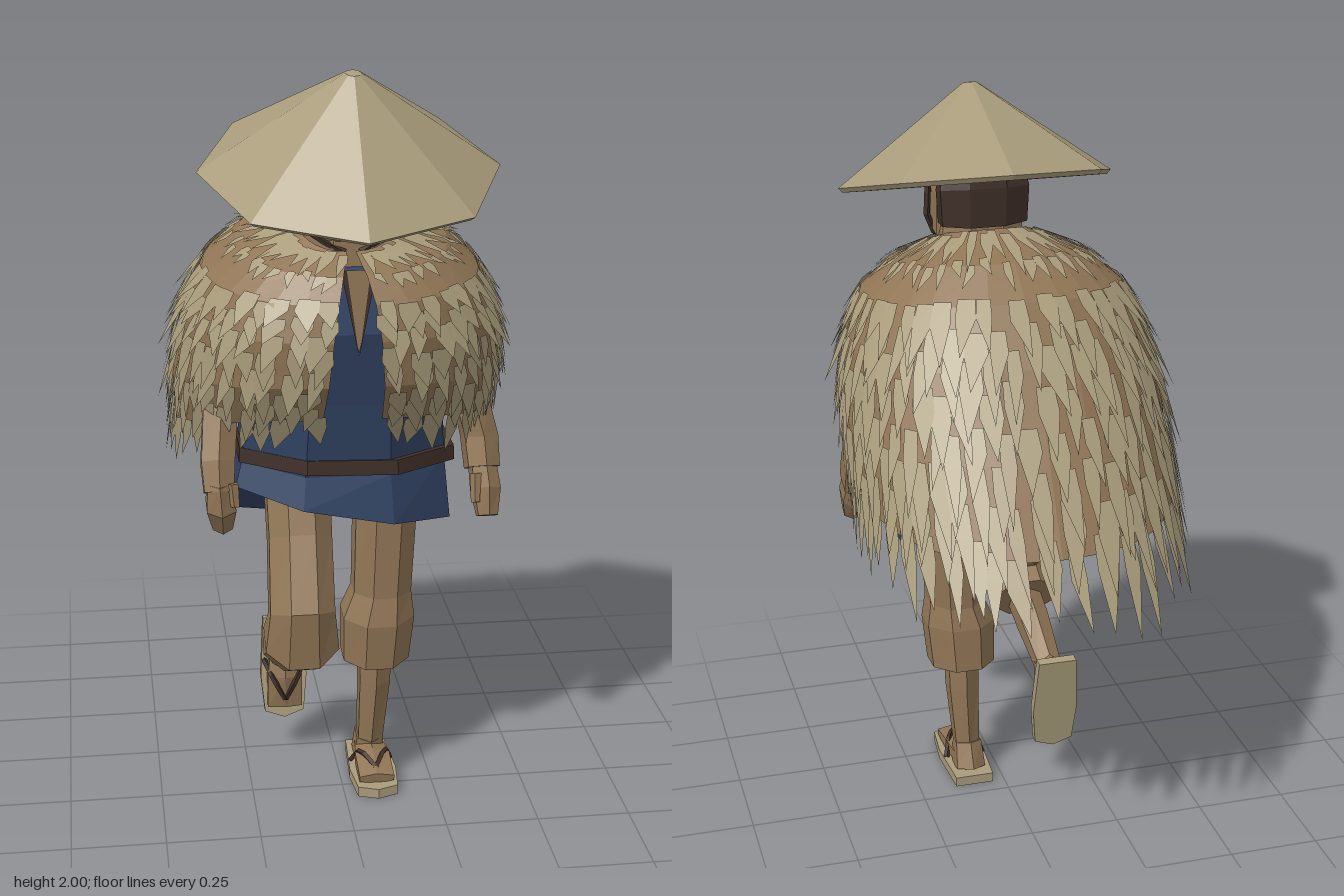
import * as THREE from 'three';

const make = (name, color) => {
  const m = new THREE.MeshStandardMaterial({ color, flatShading: true, side: THREE.DoubleSide });
  m.name = name;
  return m;
};
const V = (x, y, z) => new THREE.Vector3(x, y, z);

let seed = 7;
const rnd = () => (seed = (seed * 16807) % 2147483647) / 2147483647;
const jitter = (a) => (rnd() - 0.5) * 2 * a;

function fromTriangles(pts) {
  const g = new THREE.BufferGeometry().setFromPoints(pts);
  g.computeVertexNormals();
  return g;
}

// Closed tube through rings [x, y, z, half width, half depth]; rings follow the path in the yz plane
function loft(rings, n = 8, tweak = (p) => p) {
  const c = rings.map((r) => V(r[0], r[1], r[2])), X = V(1, 0, 0);
  const loops = rings.map((r, i) => {
    const t = c[Math.min(i + 1, c.length - 1)].clone().sub(c[Math.max(i - 1, 0)]);
    t.x = 0;
    const N = t.normalize().cross(X);
    return Array.from({ length: n }, (_, j) => {
      const a = ((j + 0.5) / n) * Math.PI * 2, k = 1 / Math.cos(Math.PI / n);
      return tweak(c[i].clone().addScaledVector(X, r[3] * k * Math.cos(a)).addScaledVector(N, r[4] * k * Math.sin(a)), i);
    });
  });
  const out = [], last = loops.length - 1;
  for (let j = 0; j < n; j++) {
    const k = (j + 1) % n;
    for (let i = 0; i < last; i++) {
      const [a, b, d, e] = [loops[i][j], loops[i][k], loops[i + 1][k], loops[i + 1][j]];
      out.push(a, b, d, a, d, e);
    }
    out.push(c[0], loops[0][k], loops[0][j], c[last], loops[last][j], loops[last][k]);
  }
  return fromTriangles(out);
}

// Cape rings from neck to hem: front z, front y, back z, back y, half width
const CAPE = [
  [0.40, 1.565, 0.13, 1.65, 0.12], [0.48, 1.52, -0.06, 1.61, 0.27], [0.525, 1.46, -0.165, 1.535, 0.355],
  [0.54, 1.37, -0.265, 1.39, 0.41], [0.52, 1.25, -0.385, 1.18, 0.432], [0.44, 1.14, -0.505, 0.965, 0.425],
];
function capePoint(a, v) {
  const f = Math.min(v * (CAPE.length - 1), CAPE.length - 1.0001), i = Math.floor(f);
  const [zf, yf, zb, yb, w] = CAPE[i].map((q, k) => q + (CAPE[i + 1][k] - q) * (f - i));
  const s = Math.sin(a), t = (1 - Math.cos(a)) / 2;
  return V(w * Math.sign(s) * Math.abs(s) ** 0.85, yb + (yf - yb) * t - 0.035 * v * s * s, zb + (zf - zb) * t);
}
const capeEdge = (v) => Math.PI - 0.06 - 0.07 * v;

function capeLining() {
  const out = [], n = 28, m = 10;
  const at = (i, j) => capePoint((i / n * 2 - 1) * capeEdge(j / m), j / m);
  for (let i = 0; i < n; i++) for (let j = 0; j < m; j++) {
    out.push(at(i, j), at(i + 1, j + 1), at(i, j + 1), at(i, j), at(i + 1, j), at(i + 1, j + 1));
  }
  return fromTriangles(out);
}

// Flat blades around a row: even sides for the first third, then a long point
function strawRow(v, count, length, flare, width) {
  const out = [];
  for (let i = 0; i < count; i++) {
    const a = Math.max(-1, Math.min(1, (i + 0.5 + jitter(0.25)) / count * 2 - 1)) * capeEdge(v);
    const vv = Math.max(0, Math.min(1, v + jitter(0.02)));
    const p = capePoint(a, vv), lo = Math.min(vv, 0.94);
    const down = capePoint(a, lo + 0.06).sub(capePoint(a, lo)).normalize();
    const side = capePoint(a + 0.02, vv).sub(capePoint(a - 0.02, vv)).normalize();
    const nor = side.clone().cross(down).normalize();
    const len = length * (0.72 + 0.28 * Math.cos(a)) * (1 + jitter(0.2));
    const w = width * (1 + jitter(0.25));
    p.addScaledVector(nor, 0.008);
    const at = (s, d) => p.clone().addScaledVector(side, s).addScaledVector(down, d * len).addScaledVector(nor, flare * d * len);
    const L = at(-w * 0.85, 0), R = at(w * 0.85, 0), A = at(-w, 0.35), B = at(w, 0.35), T = at(jitter(0.02), 1);
    out.push(L, R, B, L, B, A, A, B, T);
  }
  return fromTriangles(out);
}

export function createModel() {
  const straw = make('straw', 0xa99c7b), skin = make('brown cloth and skin', 0x917656);
  const blue = make('indigo cloth', 0x324566), dark = make('dark leather and hair', 0x402f28);
  const root = new THREE.Group();
  const add = (name, geo, mat, parent = root) => {
    const m = new THREE.Mesh(geo, mat);
    m.name = name;
    parent.add(m);
    return m;
  };

  // Hollow conical hat, tipped forward
  const profile = [[0, 0.235], [0.37, -0.012], [0.382, 0], [0.02, 0.257], [0, 0.259]];
  const hat = add('hat', new THREE.LatheGeometry(profile.map((p) => new THREE.Vector2(...p)), 8), straw);
  hat.position.set(0.01, 1.748, 0.285);
  hat.rotation.x = 0.268;

  // Head, hair and chin cords
  add('neck', loft([[0.01, 1.46, 0.25, 0.12, 0.1], [0.01, 1.6, 0.26, 0.115, 0.085], [0.01, 1.7, 0.26, 0.1, 0.08]], 8), skin);
  add('head', loft([[0.01, 1.565, 0.31, 0.07, 0.045], [0.01, 1.61, 0.295, 0.12, 0.075],
    [0.01, 1.72, 0.29, 0.12, 0.09], [0.01, 1.85, 0.29, 0.09, 0.08]]), skin);
  add('hair', loft([[0.01, 1.645, 0.225, 0.118, 0.06], [0.01, 1.74, 0.225, 0.123, 0.065], [0.01, 1.84, 0.26, 0.1, 0.08]]), dark);
  add('nose', new THREE.ConeGeometry(0.015, 0.04, 4), skin).position.set(0.01, 1.69, 0.38);
  for (const s of [-1, 1]) {
    add('chinCord', new THREE.TubeGeometry(new THREE.CatmullRomCurve3(
      [V(0.01 + s * 0.13, 1.77, 0.3), V(0.01 + s * 0.127, 1.62, 0.31), V(0.01 + s * 0.02, 1.55, 0.35)]), 5, 0.009, 4), dark);
    add('eye', new THREE.BoxGeometry(0.03, 0.01, 0.006), dark).position.set(0.01 + s * 0.04, 1.715, 0.381);
  }

  // Robe with a wrapped, slanting hem
  add('robe', loft([[0, 0.785, 0.18, 0.285, 0.2], [0, 0.98, 0.18, 0.268, 0.18], [0, 1.2, 0.23, 0.25, 0.17],
    [0, 1.4, 0.28, 0.27, 0.17], [0, 1.52, 0.3, 0.17, 0.13]], 8, (p, i) => {
    if (i === 0 && p.z > 0.2) p.y += 0.01 + 0.055 * (1 - p.x / 0.28);
    return p;
  }), blue);
  add('belt', loft([[0.01, 0.965, 0.18, 0.285, 0.193], [0.01, 1.005, 0.18, 0.283, 0.191]], 8, (p) => {
    p.y -= p.x * 0.03;
    return p;
  }), dark);
  add('chestOpening', fromTriangles([V(-0.03, 1.53, 0.45), V(0.012, 1.32, 0.463), V(0.055, 1.53, 0.45)]), skin);
  for (const s of [-1, 1]) {
    add('collarEdge', fromTriangles([V(0.012 + s * 0.045, 1.53, 0.452), V(0.012 + s * 0.03, 1.53, 0.452), V(0.012, 1.31, 0.466)]), dark);
  }

  // Straw cape: lining, neck tufts, then overlapping rows
  add('capeLining', capeLining(), skin);
  add('capeNeckTufts', strawRow(0.03, 40, 0.2, 0, 0.015), straw);
  add('capeShoulderTufts', strawRow(0.19, 44, 0.09, 0.03, 0.014), straw);
  for (let r = 0; r < 8; r++) {
    add('capeRow', strawRow(0.38 + r * 0.085, 40 + Math.min(r, 4), 0.17 + r * 0.011, 0.11, 0.026), straw);
  }

  // Arms and hands
  add('leftSleeve', loft([[0.3, 1.36, 0.2, 0.05, 0.07], [0.345, 1.12, 0.18, 0.045, 0.06],
    [0.372, 1.0, 0.2, 0.045, 0.065], [0.375, 0.92, 0.235, 0.042, 0.062]], 6), skin);
  add('leftHand', loft([[0.375, 0.94, 0.23, 0.032, 0.05], [0.38, 0.87, 0.265, 0.036, 0.052], [0.38, 0.805, 0.295, 0.026, 0.03]], 6), skin);
  add('rightSleeve', loft([[-0.29, 1.36, 0.2, 0.05, 0.07], [-0.32, 1.14, 0.25, 0.045, 0.055],
    [-0.335, 1.0, 0.33, 0.043, 0.05], [-0.335, 0.93, 0.36, 0.038, 0.042]], 6), skin);
  add('rightHand', loft([[-0.335, 0.96, 0.36, 0.03, 0.038], [-0.33, 0.89, 0.355, 0.038, 0.045], [-0.325, 0.825, 0.32, 0.026, 0.03]], 6), skin);
  add('leftThumb', loft([[0.35, 0.92, 0.28, 0.013, 0.015], [0.345, 0.85, 0.31, 0.01, 0.01]], 5), skin);
  add('rightThumb', loft([[-0.3, 0.96, 0.38, 0.013, 0.015], [-0.295, 0.9, 0.39, 0.01, 0.01]], 5), skin);

  // Standing left leg and lifted right leg, with baggy breeches
  add('leftBreeches', loft([[0.13, 0.95, 0.16, 0.085, 0.1], [0.115, 0.56, 0.17, 0.078, 0.09],
    [0.105, 0.49, 0.17, 0.097, 0.105], [0.1, 0.36, 0.16, 0.09, 0.1]]), skin);
  add('leftShin', loft([[0.1, 0.4, 0.155, 0.045, 0.055], [0.1, 0.28, 0.15, 0.042, 0.052], [0.09, 0.06, 0.135, 0.033, 0.035]], 6), skin);
  add('rightBreeches', loft([[-0.12, 0.95, 0.2, 0.085, 0.1], [-0.12, 0.76, 0.28, 0.083, 0.095], [-0.125, 0.59, 0.375, 0.085, 0.09],
    [-0.125, 0.51, 0.365, 0.097, 0.095], [-0.13, 0.465, 0.285, 0.09, 0.08]]), skin);
  add('rightShin', loft([[-0.13, 0.47, 0.32, 0.045, 0.05], [-0.135, 0.42, 0.22, 0.043, 0.05], [-0.14, 0.34, 0.06, 0.033, 0.035]], 6), skin);

  // Feet in straw sandals; the origin is the ankle
  const sole = new THREE.Shape([[-0.055, -0.09], [0.055, -0.09], [0.065, 0.08], [0.055, 0.185], [0, 0.205], [-0.055, 0.185], [-0.065, 0.08]]
    .map((p) => new THREE.Vector2(...p)));
  const foot = (name, x, y, z, tilt) => {
    const g = new THREE.Group();
    g.name = name;
    const s = add('sandalSole', new THREE.ExtrudeGeometry(sole, { depth: 0.028, bevelEnabled: false }), straw, g);
    s.rotation.x = Math.PI / 2;
    s.position.y = -0.052;
    add('heel', loft([[0, -0.054, -0.02, 0.042, 0.055], [0, 0.02, 0, 0.037, 0.042]], 6), skin, g);
    add('instep', loft([[0, -0.028, -0.03, 0.037, 0.028], [0, -0.027, 0.07, 0.048, 0.028], [0, -0.04, 0.165, 0.048, 0.014]], 6), skin, g);
    for (const q of [-1, 1]) {
      add('sandalStrap', new THREE.TubeGeometry(new THREE.CatmullRomCurve3(
        [V(q * 0.055, -0.05, 0.03), V(q * 0.035, -0.003, 0.07), V(0, -0.018, 0.14)]), 5, 0.008, 4), dark, g);
    }
    g.position.set(x, y, z);
    g.rotation.x = tilt;
    root.add(g);
  };
  foot('leftFoot', 0.09, 0.08, 0.135, 0);
  foot('rightFoot', -0.14, 0.325, 0.07, 1.43);

  return root;
}
